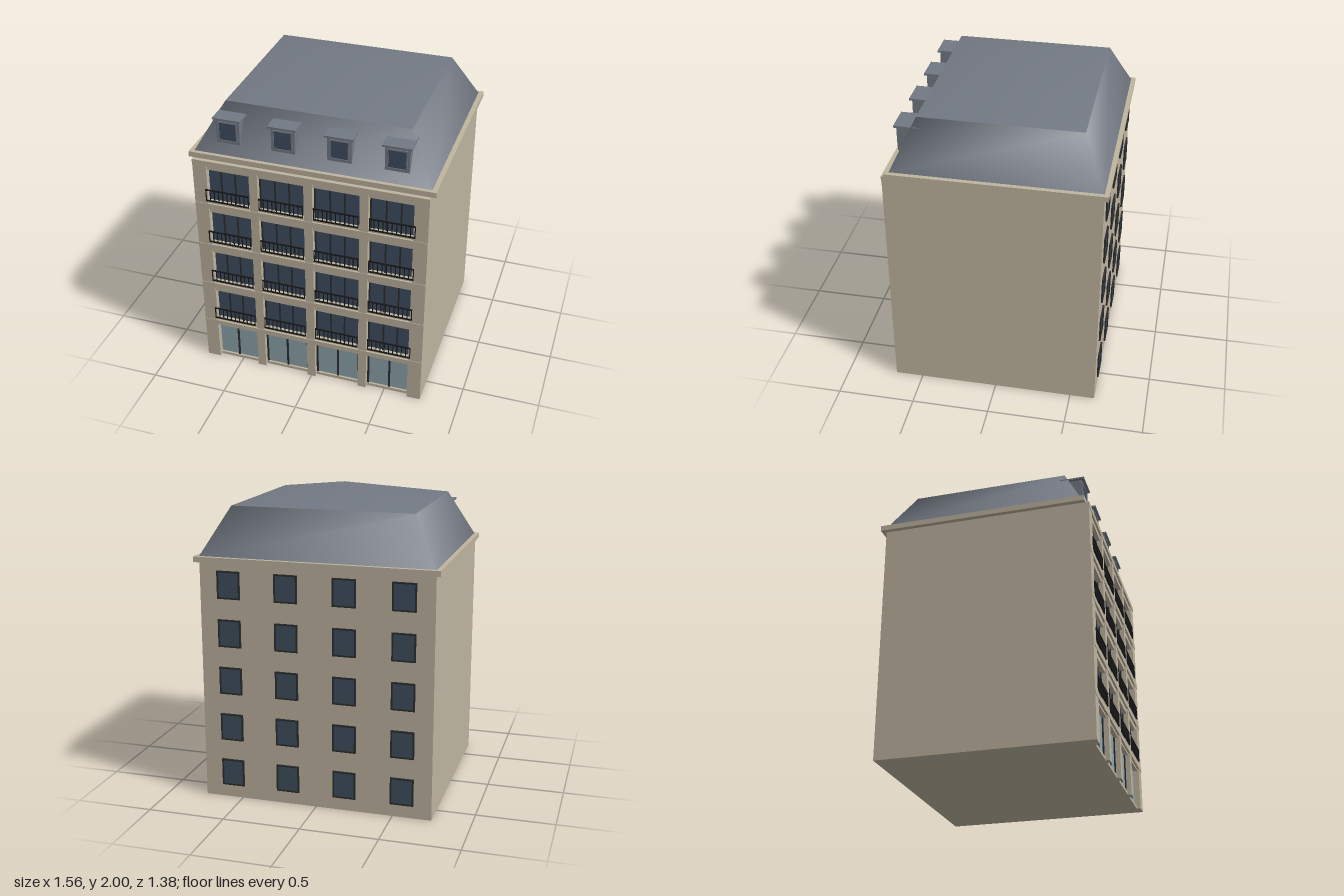
import * as THREE from 'three';

const mat = (name, color, side = THREE.FrontSide) => {
  const m = new THREE.MeshStandardMaterial({ color, side });
  m.name = name;
  return m;
};

export function createModel() {
  const stone = mat('stone', 0xbfb5a0);
  const slate = mat('slate', 0x737983, THREE.DoubleSide);
  const glass = mat('windowGlass', 0x3f4f60);
  const shopGlass = mat('shopGlass', 0x8fa5ad);
  const frameMat = mat('darkFrame', 0x2b2d30);
  const iron = mat('iron', 0x18181a);

  const model = new THREE.Group();
  model.name = 'townBuilding';

  // Box given by its lower and upper limits on each axis
  const box = (name, material, x0, x1, y0, y1, z0, z1, parent = model) => {
    const mesh = new THREE.Mesh(new THREE.BoxGeometry(x1 - x0, y1 - y0, z1 - z0), material);
    mesh.position.set((x0 + x1) / 2, (y0 + y1) / 2, (z0 + z1) / 2);
    mesh.name = name;
    parent.add(mesh);
    return mesh;
  };
  const group = (name, parent = model) => {
    const g = new THREE.Group();
    g.name = name;
    parent.add(g);
    return g;
  };

  // Main block and cornice
  box('mainBlock', stone, -0.75, 0.75, 0, 1.56, -0.66, 0.635);
  box('cornice', stone, -0.78, 0.78, 1.555, 1.59, -0.6875, 0.658);

  // Front piers and string courses
  const facade = group('facade');
  const piers = [[-0.75, -0.66], [-0.38, -0.325], [-0.028, 0.028], [0.325, 0.38], [0.66, 0.75]];
  for (const [a, b] of piers) box('pier', stone, a, b, 0, 1.552, 0.63, 0.681, facade);
  const floors = [0, 1, 2, 3].map(i => 0.313 + i * 0.311);
  for (const y of [...floors, 1.555]) box('stringCourse', stone, -0.75, 0.75, y - 0.034, y, 0.63, 0.684, facade);

  // Front bays: shopfront below, glazed doors with railings above
  const bays = [-0.53, -0.177, 0.177, 0.53];
  bays.forEach((x, i) => {
    const x0 = piers[i][1], x1 = piers[i + 1][0];

    const shop = group('shopfront', facade);
    box('shopGlass', shopGlass, x0, x1, 0.02, 0.268, 0.63, 0.642, shop);
    box('shopSill', stone, x0, x1, 0, 0.02, 0.63, 0.655, shop);
    box('shopLintel', stone, x0, x1, 0.265, 0.285, 0.63, 0.67, shop);
    for (const s of [-0.143, 0, 0.143]) {
      box('shopMullion', frameMat, x + s - 0.006, x + s + 0.006, 0.02, 0.266, 0.635, 0.65, shop);
    }

    for (const y of floors) {
      const win = group('frontWindow', facade);
      box('glass', glass, x0, x1, y, y + 0.25, 0.63, 0.642, win);
      box('lintel', stone, x0, x1, y + 0.177 + 0.067, y + 0.28, 0.63, 0.672, win);
      box('sill', stone, x0, x1, y - 0.005, y + 0.012, 0.63, 0.672, win);
      for (const s of [-0.143, -0.046, 0.046, 0.143]) {
        box('mullion', frameMat, x + s - 0.005, x + s + 0.005, y + 0.012, y + 0.245, 0.635, 0.65, win);
      }

      const railing = group('railing', facade);
      for (const h of [0.024, 0.102]) {
        box('rail', iron, x - 0.144, x + 0.144, y + h - 0.004, y + h + 0.004, 0.680, 0.6875, railing);
      }
      for (let k = 0; k < 11; k++) {
        const bx = x - 0.141 + k * 0.0282;
        box('baluster', iron, bx - 0.0025, bx + 0.0025, y + 0.024, y + 0.102, 0.681, 0.6865, railing);
      }
    }
  });

  // Framed window: four bars around a pane, facing +z, origin at its centre
  const framedWindow = (name, w, h, bar, depth, barMat, parent) => {
    const g = group(name, parent);
    box('pane', glass, -w / 2 + bar / 2, w / 2 - bar / 2, -h / 2 + bar / 2, h / 2 - bar / 2, 0, depth * 0.4, g);
    for (const s of [-1, 1]) {
      const fx = s * (w - bar) / 2, fy = s * (h - bar) / 2;
      box('frameSide', barMat, fx - bar / 2, fx + bar / 2, -h / 2, h / 2, 0, depth, g);
      box('frameRail', barMat, -w / 2, w / 2, fy - bar / 2, fy + bar / 2, 0, depth, g);
    }
    return g;
  };

  // Back windows
  const back = group('backWindows');
  for (const x of [-0.56, -0.187, 0.187, 0.56]) {
    for (let r = 0; r < 5; r++) {
      const w = framedWindow('backWindow', 0.15, 0.178, 0.01, 0.012, frameMat, back);
      w.position.set(x, 0.172 + r * 0.311, -0.659);
      w.rotation.y = Math.PI;
    }
  }

  // Roof skirt and hipped cap, each with shared corners for soft shading
  const ring = (x, y, z0, z1) => [-x, y, z1, x, y, z1, x, y, z0, -x, y, z0];
  const low = ring(0.75, 1.59, -0.66, 0.633), high = ring(0.585, 1.89, -0.518, 0.494);
  const roofPart = (name, points, index) => {
    const geo = new THREE.BufferGeometry();
    geo.setAttribute('position', new THREE.Float32BufferAttribute(points, 3));
    geo.setIndex(index);
    geo.computeVertexNormals();
    const mesh = new THREE.Mesh(geo, slate);
    mesh.name = name;
    model.add(mesh);
  };
  const skirt = [], cap = [];
  for (let i = 0; i < 4; i++) {
    const j = (i + 1) % 4;
    skirt.push(i, j, j + 4, i, j + 4, i + 4);
    cap.push(i, j, 4);
  }
  roofPart('mansardSkirt', [...low, ...high], skirt);
  roofPart('roofCap', [...high, 0, 2, -0.012], cap);

  // Dormers
  for (const x of bays) {
    const d = group('dormer');
    box('dormerBody', slate, x - 0.075, x + 0.075, 1.662, 1.822, 0.49, 0.61, d);
    box('dormerRoof', slate, x - 0.09, x + 0.09, 1.822, 1.834, 0.468, 0.628, d);
    framedWindow('dormerWindow', 0.124, 0.132, 0.008, 0.008, slate, d).position.set(x, 1.742, 0.609);
  }

  return model;
}
